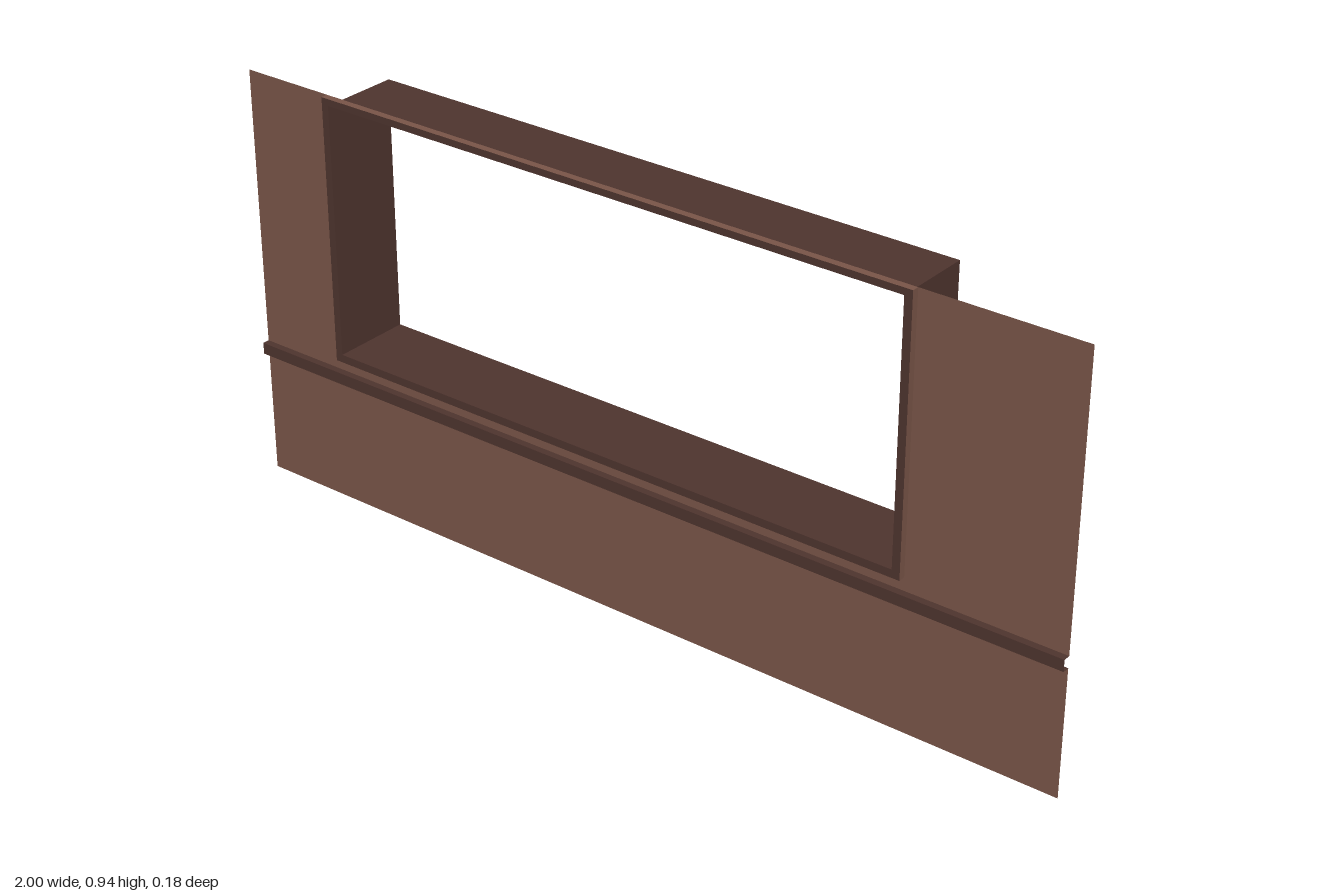
import * as THREE from 'three';

const brown = new THREE.MeshStandardMaterial({ color: 0x795548, side: THREE.DoubleSide });
brown.name = 'panel brown';
const dark = new THREE.MeshStandardMaterial({ color: 0x4e342e, side: THREE.DoubleSide });
dark.name = 'dark brown';

const WALL_Z = 0.074, FRONT_Z = 0.09, BACK_Z = -0.09;
const outer = { x0: -0.78, x1: 0.645, y0: 0.342, y1: 0.94 };
const inner = { x0: -0.763, x1: 0.627, y0: 0.36, y1: 0.925 };
const rail = { y0: 0.287, y1: 0.313 };

// Flat sheet facing the front
function sheet(name, x0, x1, y0, y1, z, material) {
  const mesh = new THREE.Mesh(new THREE.PlaneGeometry(x1 - x0, y1 - y0), material);
  mesh.position.set((x0 + x1) / 2, (y0 + y1) / 2, z);
  mesh.name = name;
  return mesh;
}

// Four-sided open sleeve around a rectangle, normals outward
function sleeve(name, r, z0, z1, material) {
  const group = new THREE.Group();
  group.name = name;
  const w = r.x1 - r.x0, h = r.y1 - r.y0, d = z1 - z0;
  const cx = (r.x0 + r.x1) / 2, cy = (r.y0 + r.y1) / 2, cz = (z0 + z1) / 2;
  for (const s of [-1, 1]) {
    const side = new THREE.Mesh(new THREE.PlaneGeometry(d, h), material);
    side.rotation.y = s * Math.PI / 2;
    side.position.set(cx + s * w / 2, cy, cz);
    side.name = s < 0 ? name + 'Right' : name + 'Left';
    const level = new THREE.Mesh(new THREE.PlaneGeometry(w, d), material);
    level.rotation.x = -s * Math.PI / 2;
    level.position.set(cx, cy + s * h / 2, cz);
    level.name = s < 0 ? name + 'Bottom' : name + 'Top';
    group.add(side, level);
  }
  return group;
}

function rectPath(path, r) {
  path.moveTo(r.x0, r.y0);
  path.lineTo(r.x1, r.y0);
  path.lineTo(r.x1, r.y1);
  path.lineTo(r.x0, r.y1);
  path.closePath();
  return path;
}

export function createModel() {
  const model = new THREE.Group();
  model.name = 'wallWithWindow';

  // Wall sheets around the opening
  model.add(
    sheet('lowerWall', -1, 1, 0, rail.y0, WALL_Z, brown),
    sheet('wallUnderWindow', -1, 1, rail.y1, outer.y0, WALL_Z, brown),
    sheet('rightWall', -1, outer.x0, outer.y0, outer.y1, WALL_Z, brown),
    sheet('leftWall', outer.x1, 1, outer.y0, outer.y1, WALL_Z, brown)
  );

  // Raised rail, open at the back and the ends
  model.add(sheet('railFace', -1, 1, rail.y0, rail.y1, FRONT_Z, dark));
  for (const [y, s] of [[rail.y0, 1], [rail.y1, -1]]) {
    const edge = new THREE.Mesh(new THREE.PlaneGeometry(2, FRONT_Z - WALL_Z), dark);
    edge.rotation.x = s * Math.PI / 2;
    edge.position.set(0, y, (FRONT_Z + WALL_Z) / 2);
    edge.name = s > 0 ? 'railUnderside' : 'railTop';
    model.add(edge);
  }

  // Window trim: front ring and outer edges
  const ring = rectPath(new THREE.Shape(), outer);
  ring.holes.push(rectPath(new THREE.Path(), inner));
  const trim = new THREE.Mesh(new THREE.ShapeGeometry(ring), dark);
  trim.position.z = FRONT_Z;
  trim.name = 'windowTrim';
  model.add(trim, sleeve('trimEdge', outer, WALL_Z, FRONT_Z, brown));

  // Deep window lining, open front and back
  model.add(sleeve('windowLining', inner, BACK_Z, FRONT_Z, dark));

  return model;
}
